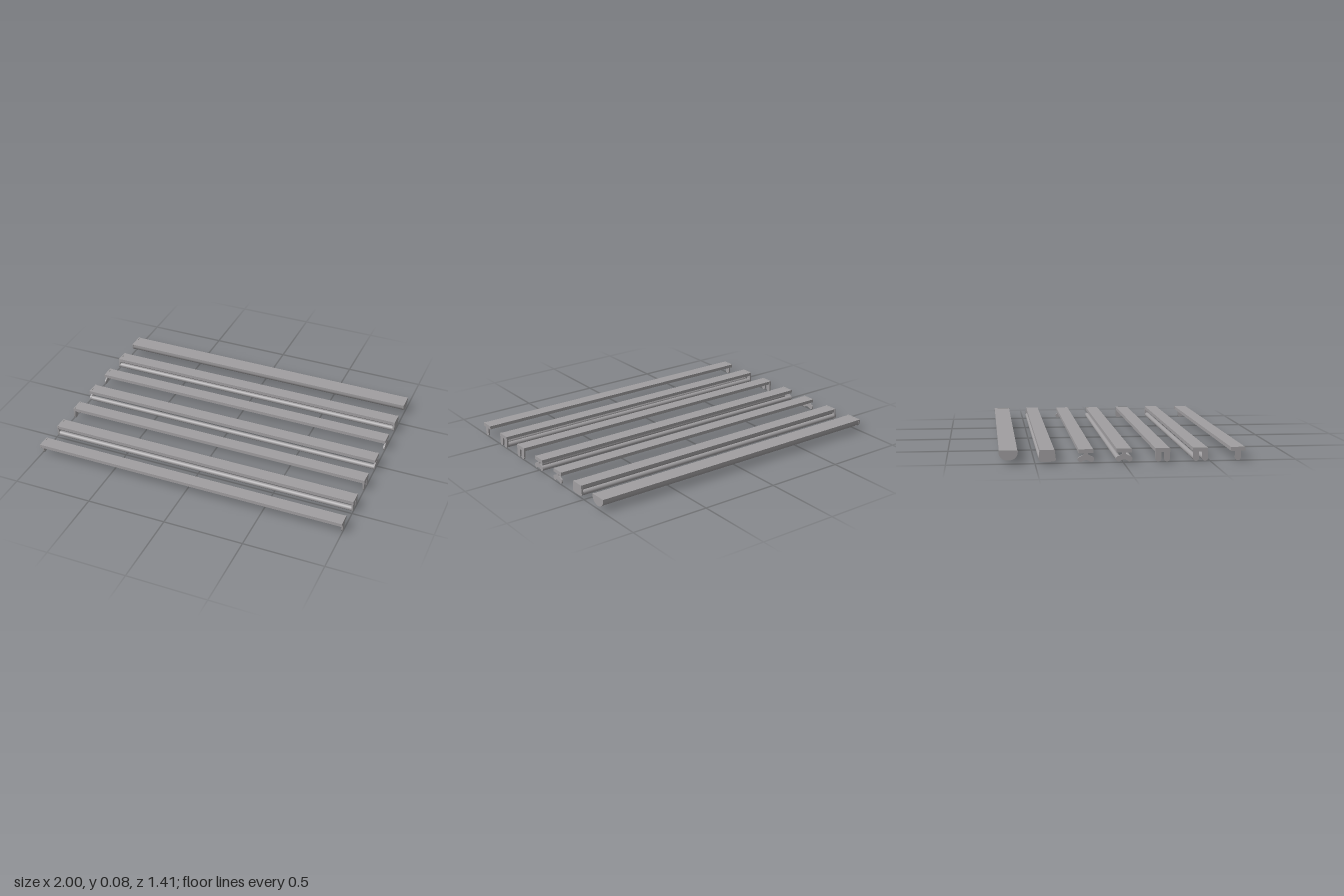
import * as THREE from 'three';
import { toCreasedNormals } from 'three/addons/utils/BufferGeometryUtils.js';

const TOP = 0.078, UNDER = 0.055; // heights of the housing
const CAP = 0.01; // end cap thickness

// Seven long lamp fittings side by side, some with tubes and some without
export function createModel() {
  const model = new THREE.Group();
  model.name = 'lampFittings';
  const grey = new THREE.MeshStandardMaterial({ color: 0xa09ea0 });
  grey.name = 'grey';

  // Extrude a (z, y) outline along x, centred at the given x
  function bar(parent, name, shape, length, x = 0) {
    let geo = new THREE.ExtrudeGeometry(shape, { depth: length, bevelEnabled: false, curveSegments: 14 });
    geo.translate(0, 0, -length / 2);
    geo.rotateY(-Math.PI / 2);
    geo = toCreasedNormals(geo, 0.6);
    const mesh = new THREE.Mesh(geo, grey);
    mesh.name = name;
    mesh.position.x = x;
    parent.add(mesh);
  }

  function outline(points) {
    return new THREE.Shape(points.map(([z, y]) => new THREE.Vector2(z, y)));
  }

  function rect(half, y0, y1) {
    return outline([[-half, y0], [half, y0], [half, y1], [-half, y1]]);
  }

  // Straight leg with a rounded foot
  function legShape(z, r) {
    const s = new THREE.Shape();
    s.moveTo(z - r, UNDER);
    s.lineTo(z - r, 0.017);
    s.absarc(z, 0.017, r, Math.PI, Math.PI * 2, false);
    s.lineTo(z + r, UNDER);
    return s;
  }

  // Short neck with two drooping rounded arms
  function wingShape() {
    const s = new THREE.Shape();
    s.moveTo(-0.011, UNDER);
    s.lineTo(-0.011, 0.046);
    s.quadraticCurveTo(-0.02, 0.042, -0.034, 0.036);
    s.absarc(-0.031, 0.02, 0.016, 1.76, Math.PI * 1.6, false);
    s.quadraticCurveTo(-0.012, 0.015, 0, 0.016);
    s.quadraticCurveTo(0.012, 0.015, 0.026, 0.005);
    s.absarc(0.031, 0.02, 0.016, -Math.PI * 0.6, Math.PI - 1.76, false);
    s.quadraticCurveTo(0.02, 0.042, 0.011, 0.046);
    s.lineTo(0.011, UNDER);
    return s;
  }

  // Rounded trapezoid end plate
  function troughShape() {
    const s = new THREE.Shape();
    s.moveTo(-0.043, TOP);
    s.lineTo(-0.049, 0.025);
    s.quadraticCurveTo(-0.049, 0.012, -0.036, 0.011);
    s.quadraticCurveTo(0, 0.007, 0.036, 0.011);
    s.quadraticCurveTo(0.049, 0.012, 0.049, 0.025);
    s.lineTo(0.043, TOP);
    return s;
  }

  // Flat top with a half-round underside
  function domeShape(inset) {
    const r = 0.054 - inset;
    const s = new THREE.Shape();
    s.moveTo(-r, TOP - inset / 2);
    s.lineTo(-r, 0.066);
    s.absellipse(0, 0.066, r, 0.046 - inset, Math.PI, Math.PI * 2, false);
    s.lineTo(r, TOP - inset / 2);
    return s;
  }

  function atEnds(place) {
    for (const side of [-1, 1]) place(side * (1 - CAP / 2));
  }

  function fitting(name, z) {
    const group = new THREE.Group();
    group.name = name;
    group.position.z = z;
    model.add(group);
    return group;
  }

  // Long flat housing with slightly larger end caps
  function housing(group) {
    bar(group, 'housing', rect(0.0415, UNDER + 0.001, TOP - 0.001), 2 - 2 * CAP);
    atEnds(x => bar(group, 'housingCap', rect(0.043, UNDER, TOP), CAP, x));
  }

  function tubes(group, offsets, y, r) {
    for (const z of offsets) {
      const geo = new THREE.CylinderGeometry(r, r, 2 - 2 * CAP, 20);
      geo.rotateZ(Math.PI / 2);
      const tube = new THREE.Mesh(geo, grey);
      tube.name = 'tube';
      tube.position.set(0, y, z);
      group.add(tube);
    }
  }

  // Fittings whose sockets are straight legs
  const legged = [
    ['singleFitting', 0.663, [0], false],
    ['twinFitting', 0.445, [-0.026, 0.026], true],
    ['emptyTwinFitting', 0.227, [-0.025, 0.025], false],
  ];
  for (const [name, z, legs, lit] of legged) {
    const group = fitting(name, z);
    housing(group);
    for (const leg of legs) atEnds(x => bar(group, 'socket', legShape(leg, 0.017), CAP, x));
    if (lit) tubes(group, legs, 0.017, 0.016);
  }

  // Fittings whose sockets spread like wings
  for (const [name, z, lit] of [['wingFitting', 0.006, true], ['emptyWingFitting', -0.212, false]]) {
    const group = fitting(name, z);
    housing(group);
    atEnds(x => bar(group, 'wingSocket', wingShape(), CAP, x));
    if (lit) tubes(group, [-0.031, 0.031], 0.02, 0.0155);
  }

  // Deep fitting: end plates, central reflector and two tubes
  const deep = fitting('deepFitting', -0.431);
  housing(deep);
  atEnds(x => bar(deep, 'endPlate', troughShape(), CAP + 0.001, x * 0.9995));
  bar(deep, 'reflector', outline([[-0.034, UNDER + 0.001], [-0.008, 0.018], [0.008, 0.018], [0.034, UNDER + 0.001]]), 2 - 2 * CAP);
  tubes(deep, [-0.032, 0.032], 0.026, 0.016);

  // Half-round fitting: smooth diffuser between end caps
  const round = fitting('roundFitting', -0.65);
  bar(round, 'diffuser', domeShape(0.002), 2 - 2 * CAP);
  atEnds(x => bar(round, 'roundCap', domeShape(0), CAP, x));

  return model;
}
